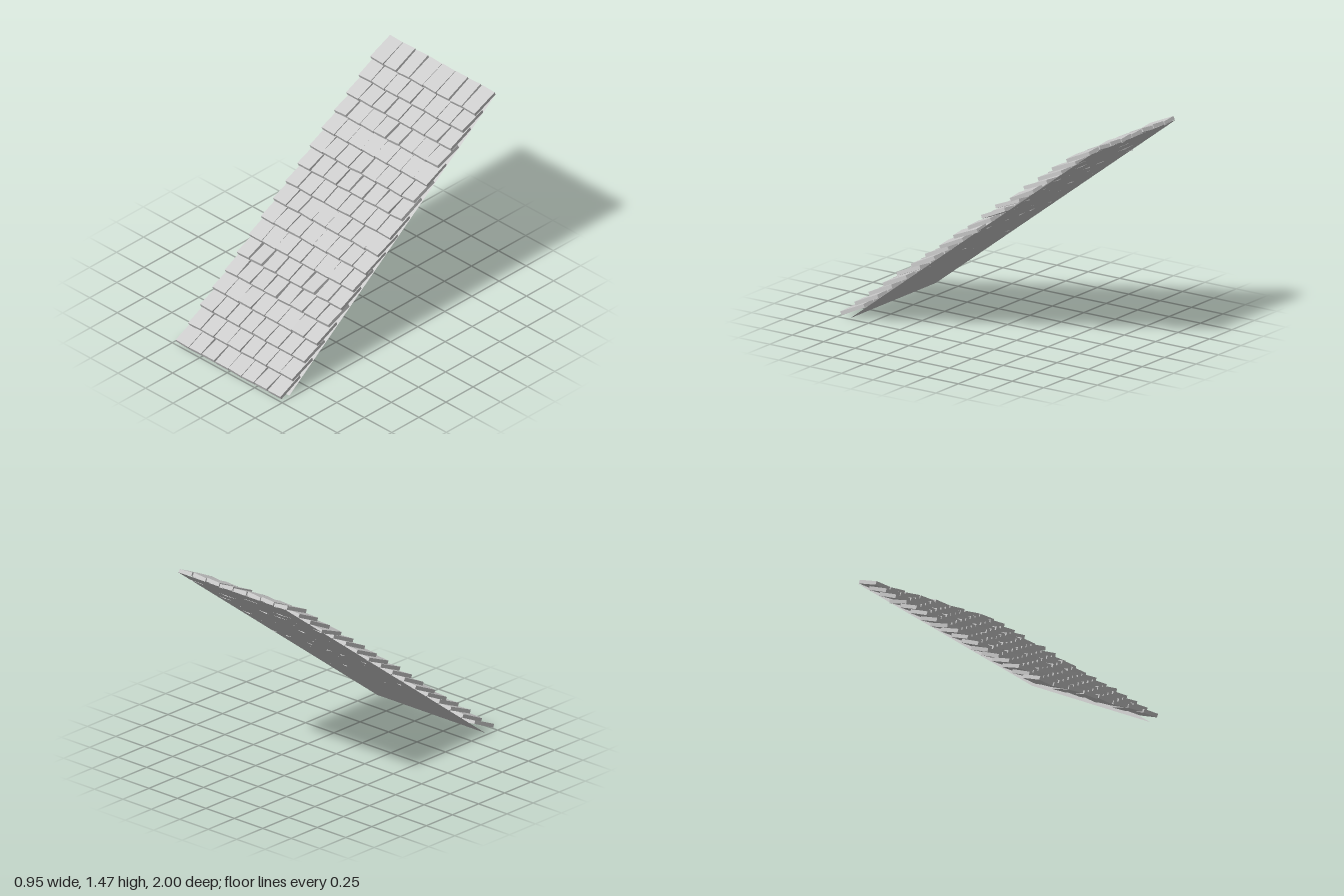
import * as THREE from 'three';

const ROWS = 17, COLS = 8, PITCH = 0.1195;
const WIDTH = 0.111, THICK = 0.025, LENGTH = 0.2, TILT = 0.41;

// small seeded generator returning values in -1..1
function makeRandom(seed) {
  let s = seed;
  return () => {
    s = (s * 16807) % 2147483647;
    return (s / 2147483647) * 2 - 1;
  };
}

export function createModel() {
  const roof = new THREE.Group();
  roof.name = 'shingledRoofPanel';
  const material = new THREE.MeshStandardMaterial({ color: 0xcccccc, flatShading: true });
  const random = makeRandom(4711);

  // thin sloping sheet under the shingles
  const low = { z: 0.91, y: 0 }, high = { z: -1, y: 1.447 };
  const sheetGeometry = new THREE.PlaneGeometry(0.95, Math.hypot(high.y - low.y, low.z - high.z));
  const sheetMaterial = material.clone();
  sheetMaterial.side = THREE.DoubleSide;
  const sheet = new THREE.Mesh(sheetGeometry, sheetMaterial);
  sheet.name = 'backingSheet';
  sheet.position.set(0, (low.y + high.y) / 2, (low.z + high.z) / 2);
  sheet.rotation.x = -Math.atan2(low.z - high.z, high.y - low.y);
  roof.add(sheet);

  // overlapping rows; four shingle variants repeat across each row
  const shingleGeometry = new THREE.BoxGeometry(WIDTH, THICK, LENGTH);
  const lean = [-0.09, 0.05, 0.09, -0.06];
  for (let r = 0; r < ROWS; r++) {
    const row = new THREE.Group();
    row.name = `shingleRow${r + 1}`;
    row.position.set(0, 0.061 + r * 0.0846, 0.898 - r * 0.1122);
    const variants = lean.map((l) => ({
      roll: r === ROWS - 1 ? l : random() * 0.12,
      pitch: random() * 0.04,
      yaw: random() * 0.02,
    }));
    for (let c = 0; c < COLS; c++) {
      const v = variants[c % 4];
      const shingle = new THREE.Mesh(shingleGeometry, material);
      shingle.name = 'shingle';
      shingle.position.x = (c - (COLS - 1) / 2) * PITCH;
      shingle.rotation.set(TILT + v.pitch, v.yaw, v.roll);
      row.add(shingle);
    }
    roof.add(row);
  }
  return roof;
}
